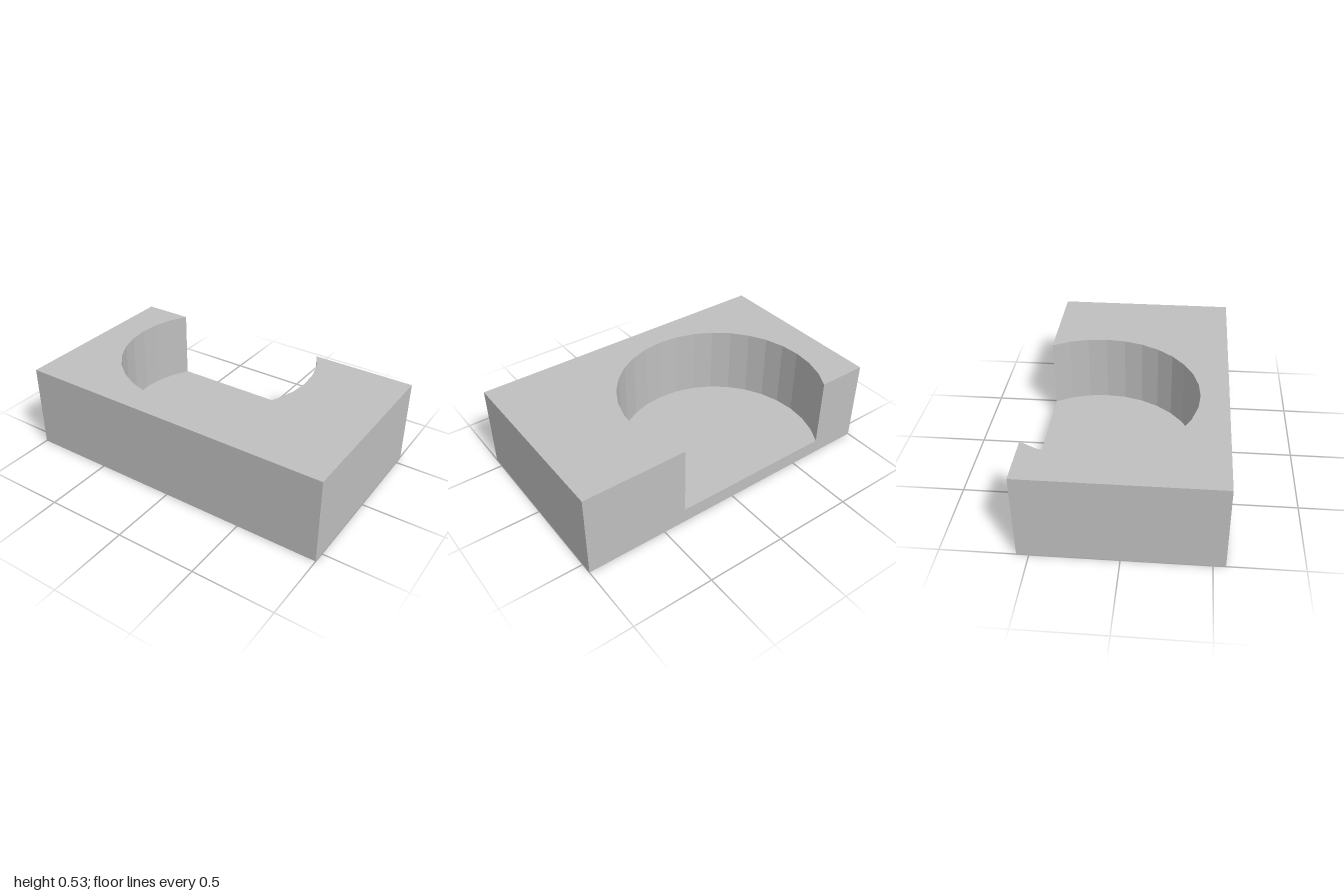
import * as THREE from 'three';

const W = 2, H = 0.533, D = 1.14;      // overall block
const FLOOR = 0.093;                   // thickness under the pocket
const CX = -0.165, CZ = -0.225, R = 0.625; // pocket circle

export function createModel() {
  const group = new THREE.Group();
  group.name = 'pocketedBlock';
  const grey = new THREE.MeshStandardMaterial({ color: 0xbfbfbf });
  grey.name = 'grey';

  // Base slab, whose top is the pocket floor
  const base = new THREE.Mesh(new THREE.BoxGeometry(W, FLOOR, D), grey);
  base.name = 'baseSlab';
  base.position.y = FLOOR / 2;
  group.add(base);

  // Plan of the walls (shape y = -z), with a faceted round pocket open at the back
  const back = D / 2;
  const cy = -CZ;
  const half = Math.sqrt(R * R - (back - cy) ** 2);
  const plan = [
    [-W / 2, -back], [W / 2, -back], [W / 2, back], [CX + half, back],
  ];
  for (let k = 2; k >= -18; k--) {
    const a = (k * Math.PI) / 16;
    plan.push([CX + R * Math.cos(a), cy + R * Math.sin(a)]);
  }
  plan.push([CX - half, back], [-W / 2, back]);

  const shape = new THREE.Shape(plan.map(([x, y]) => new THREE.Vector2(x, y)));
  const wallGeometry = new THREE.ExtrudeGeometry(shape, { depth: H - FLOOR, bevelEnabled: false });
  wallGeometry.rotateX(-Math.PI / 2);
  const walls = new THREE.Mesh(wallGeometry, grey);
  walls.name = 'pocketWalls';
  walls.position.y = FLOOR;
  group.add(walls);

  return group;
}
